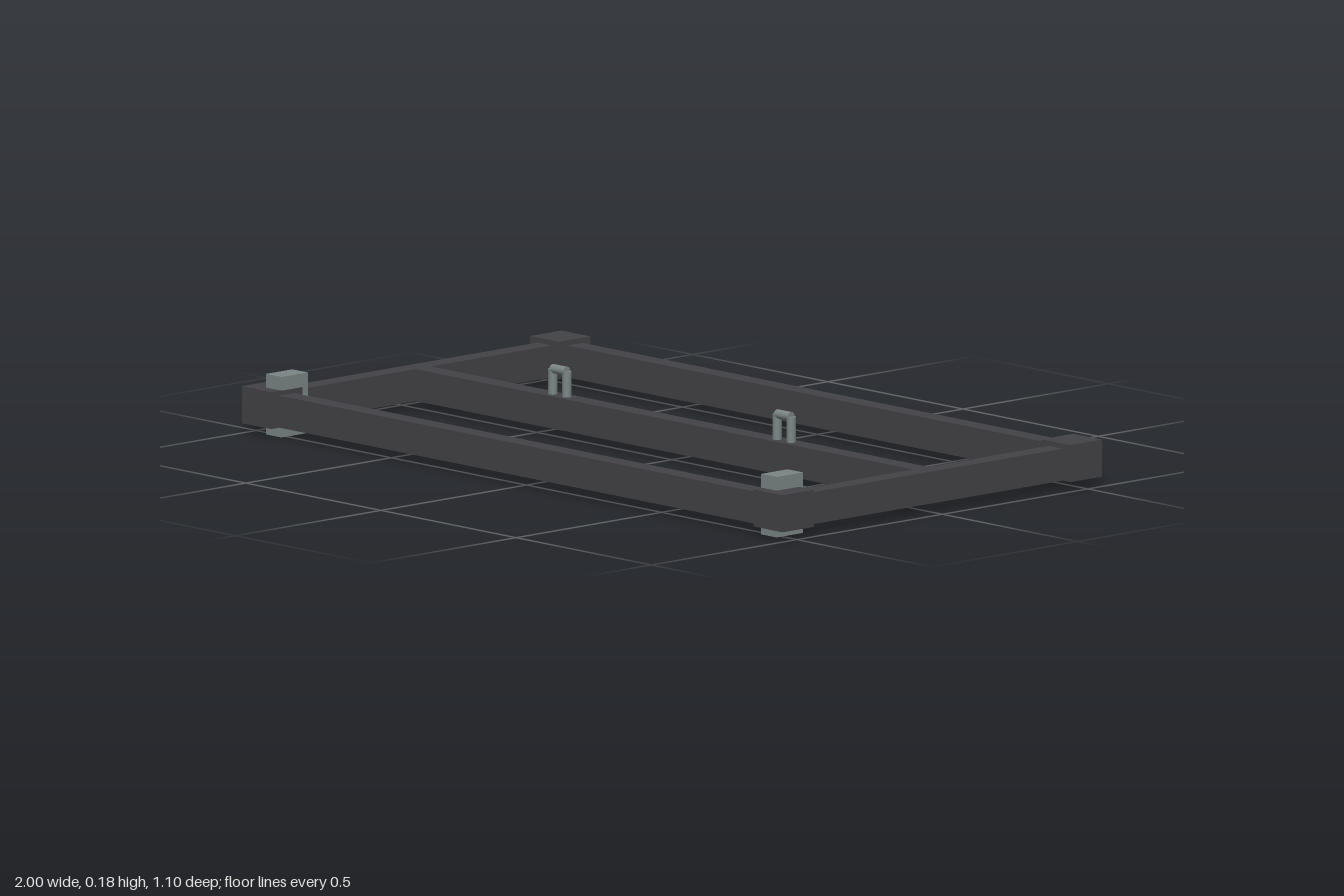
import * as THREE from 'three';

export function createModel() {
  const model = new THREE.Group();
  const frameMat = new THREE.MeshStandardMaterial({ color: 0x434246 });
  frameMat.name = 'charcoal frame';
  const steelMat = new THREE.MeshStandardMaterial({ color: 0x7b8585 });
  steelMat.name = 'grey steel';

  // box given by its min and max corners
  function box(name, mat, [x0, y0, z0], [x1, y1, z1], parent = model) {
    const mesh = new THREE.Mesh(new THREE.BoxGeometry(x1 - x0, y1 - y0, z1 - z0), mat);
    mesh.position.set((x0 + x1) / 2, (y0 + y1) / 2, (z0 + z1) / 2);
    mesh.name = name;
    parent.add(mesh);
    return mesh;
  }

  const bottom = 0.03, railTop = 0.112, blockTop = 0.125;
  const cx = 0.946, cz = 0.495, block = 0.054, half = 0.026;

  // long rails and the centre beam
  for (const [name, z] of [['frontRail', cz], ['backRail', -cz], ['centreBeam', 0]]) {
    const end = z === 0 ? cx - half : cx - block;
    box(name, frameMat, [-end, bottom, z - half], [end, railTop, z + half]);
  }

  for (const s of [-1, 1]) {
    const side = s > 0 ? 'left' : 'right';

    // side rail and corner blocks
    box(side + 'Rail', frameMat, [s * cx - half, bottom, -cz + block], [s * cx + half, railTop, cz - block]);
    for (const t of [-1, 1]) {
      box(side + (t > 0 ? 'Front' : 'Back') + 'Corner', frameMat,
        [s * cx - block, bottom, t * cz - block], [s * cx + block, blockTop, t * cz + block]);
    }

    // C-shaped clamp gripping the front corner
    const clamp = new THREE.Group();
    clamp.name = side + 'Clamp';
    clamp.position.x = s * 0.916;
    model.add(clamp);
    const w = 0.029;
    box('clampTop', steelMat, [-w, blockTop, 0.427], [w, 0.16, 0.518], clamp);
    box('clampFoot', steelMat, [-w, 0.005, 0.427], [w, bottom, 0.518], clamp);
    box('clampWeb', steelMat, [-w, bottom, 0.427], [w, blockTop, cz - block], clamp);
    const ear = s > 0 ? [-0.041, -0.024] : [0.024, 0.041];
    box('clampEar', steelMat, [ear[0], 0.04, 0.437], [ear[1], 0.105, 0.469], clamp);

    // lifting eye: two round posts joined by a round bar
    const eye = new THREE.Group();
    eye.name = side + 'LiftingEye';
    eye.position.x = s * 0.415;
    model.add(eye);
    const r = 0.012, px = 0.026, barY = 0.177;
    for (const p of [-1, 1]) {
      const post = new THREE.Mesh(new THREE.CylinderGeometry(r, r, barY - 0.105, 16), steelMat);
      post.position.set(p * px, (barY + 0.105) / 2, 0);
      post.name = 'eyePost';
      eye.add(post);
    }
    const bar = new THREE.Mesh(new THREE.CylinderGeometry(r, r, px * 2, 16), steelMat);
    bar.rotation.z = Math.PI / 2;
    bar.position.y = barY;
    bar.name = 'eyeBar';
    eye.add(bar);
  }
  return model;
}
